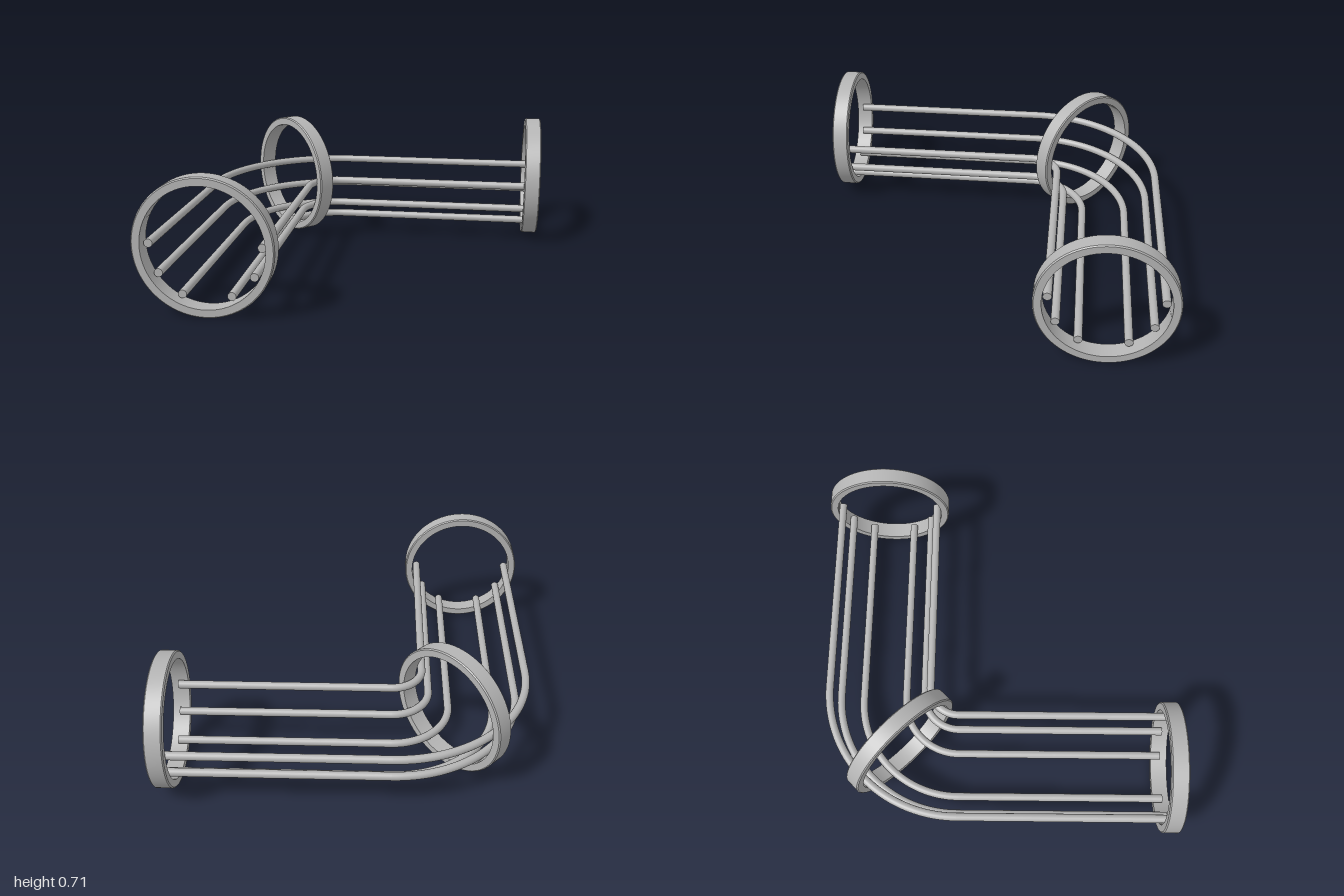
import * as THREE from 'three';
import { toCreasedNormals } from 'three/addons/utils/BufferGeometryUtils.js';

const RING_Y = 0.355, RING_OUTER = 0.355, RING_INNER = 0.311, RING_HALF = 0.046;
const BEND = -0.2;      // x and z of the bend's centre
const AXIS_R = 0.445;   // bend radius of the tray's centre line
const ROD = 0.022, ROD_END = 0.955, ROD_ORBIT = 0.284;

export function createModel() {
  const group = new THREE.Group();
  const steel = new THREE.MeshStandardMaterial({ color: 0xb4b4b4 });
  steel.name = 'steel grey';

  const add = (name, geometry, x, y, z) => {
    const mesh = new THREE.Mesh(geometry, steel);
    mesh.name = name;
    mesh.position.set(x, y, z);
    group.add(mesh);
    return mesh;
  };

  // Flat hoop with slightly chamfered outer edges, axis along z
  const c = 0.006;
  const profile = [
    [RING_OUTER - c, -RING_HALF], [RING_OUTER, -RING_HALF + c],
    [RING_OUTER, RING_HALF - c], [RING_OUTER - c, RING_HALF],
    [RING_INNER, RING_HALF], [RING_INNER, -RING_HALF], [RING_OUTER - c, -RING_HALF],
  ].map(([r, h]) => new THREE.Vector2(r, h));
  const hoop = toCreasedNormals(new THREE.LatheGeometry(profile, 96).rotateX(Math.PI / 2), 0.5);

  // Hoops at both ends and in the middle of the bend
  const line = BEND - AXIS_R;
  const mid = BEND - AXIS_R * Math.SQRT1_2;
  add('frontRing', hoop, line, RING_Y, 1 - RING_HALF);
  add('sideRing', hoop, 1 - RING_HALF, RING_Y, line).rotation.y = Math.PI / 2;
  add('bendRing', hoop, mid, RING_Y, mid).rotation.y = -Math.PI / 4;

  // Rods: two straight runs joined by a quarter bend, on the lower half of the hoops
  const length = ROD_END - BEND, centre = (ROD_END + BEND) / 2;
  const runZ = new THREE.CylinderGeometry(ROD, ROD, length, 24).rotateX(Math.PI / 2);
  const runX = new THREE.CylinderGeometry(ROD, ROD, length, 24).rotateZ(Math.PI / 2);
  for (const side of [-1, 1]) {
    for (const degrees of [0, 32, 64]) {
      const a = THREE.MathUtils.degToRad(degrees);
      const r = AXIS_R + side * ROD_ORBIT * Math.cos(a);
      const y = RING_Y + 0.003 - ROD_ORBIT * Math.sin(a);
      const bend = new THREE.TorusGeometry(r, ROD, 24, 40, Math.PI / 2)
        .rotateZ(Math.PI).rotateX(Math.PI / 2);
      add('rodFrontRun', runZ, BEND - r, y, centre);
      add('rodSideRun', runX, centre, y, BEND - r);
      add('rodBend', bend, BEND, y, BEND);
    }
  }
  return group;
}
